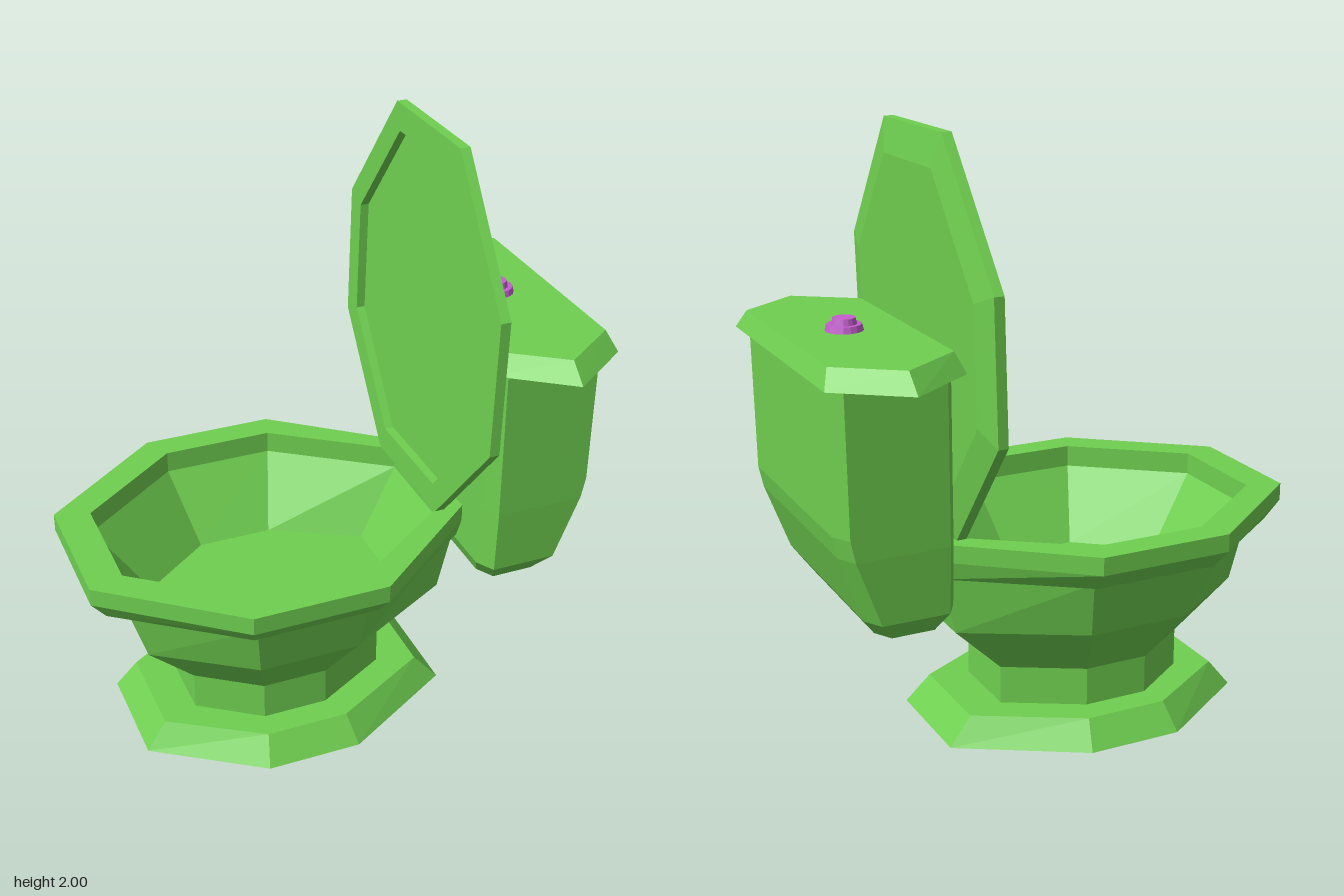
import * as THREE from 'three';

const green = new THREE.MeshStandardMaterial({ color: 0x6fcf50, flatShading: true });
const pink = new THREE.MeshStandardMaterial({ color: 0xc45fcf, flatShading: true });

// Elongated octagon: u0..u3 along its length, half widths at the ends and middle.
// u1 === u2 gives a hexagon.
function octagon(u0, u1, u2, u3, endW0, midW, endW3 = endW0) {
  const half = [[u3, -endW3], [u2, -midW], ...(u1 === u2 ? [] : [[u1, -midW]]), [u0, -endW0]];
  return [...half, ...half.map(([u, w]) => [u, -w]).reverse()];
}

// Horizontal ring at height y
const level = (y, ...o) => octagon(...o).map(([x, z]) => [x, y, z]);

// Skin a list of rings and cap both ends
function loft(name, rings) {
  const n = rings[0].length, pos = [];
  const tri = (a, b, c) => pos.push(...a, ...b, ...c);
  for (let r = 0; r < rings.length - 1; r++) {
    const lo = rings[r], hi = rings[r + 1];
    for (let i = 0; i < n; i++) {
      const j = (i + 1) % n;
      tri(lo[i], lo[j], hi[j]);
      tri(lo[i], hi[j], hi[i]);
    }
  }
  const first = rings[0], last = rings[rings.length - 1];
  for (let i = 1; i < n - 1; i++) {
    tri(first[0], first[i + 1], first[i]);
    tri(last[0], last[i], last[i + 1]);
  }
  const geo = new THREE.BufferGeometry();
  geo.setAttribute('position', new THREE.Float32BufferAttribute(pos, 3));
  geo.computeVertexNormals();
  const mesh = new THREE.Mesh(geo, green);
  mesh.name = name;
  return mesh;
}

// Upright ring of the raised cover, shrunk about its centre and leaning slightly back
function coverRing(scale, depth) {
  const mid = 1.367;
  const u = [0.735, 1.13, 1.58, 2].map(y => mid + (y - mid) * scale);
  return octagon(...u, 0.225 * scale, 0.555 * scale)
    .map(([y, w]) => [0.33 + (y - 0.735) * 0.024 + depth, y, -w]);
}

// Tank ring: rectangle with cut corners
const tankRing = (y, x0, x1, z) => level(y, x0, x0 + 0.035, x1 - 0.035, x1, z - 0.06, z);

export function createModel() {
  const model = new THREE.Group();
  model.name = 'toilet';

  model.add(loft('foot', [
    level(0, -0.69, -0.34, -0.02, 0.38, 0.19, 0.425),
    level(0.09, -0.62, -0.32, -0.04, 0.30, 0.17, 0.36),
  ]));

  model.add(loft('pedestal', [
    level(0.09, -0.5, -0.3, -0.08, 0.17, 0.13, 0.27),
    level(0.22, -0.5, -0.3, -0.08, 0.17, 0.13, 0.27),
  ]));

  // Outside of the bowl, over the rim and down to the inner floor
  model.add(loft('bowl', [
    level(0.22, -0.5, -0.3, -0.08, 0.17, 0.13, 0.27),
    level(0.41, -0.67, -0.36, -0.02, 0.36, 0.2, 0.41),
    level(0.61, -0.73, -0.385, 0, 0.41, 0.2, 0.46),
    level(0.61, -0.80, -0.41, 0.01, 0.42, 0.21, 0.5),
    level(0.675, -0.85, -0.43, 0.02, 0.43, 0.225, 0.555),
    level(0.735, -0.85, -0.43, 0.02, 0.43, 0.225, 0.555),
    level(0.735, -0.735, -0.385, -0.01, 0.37, 0.19, 0.46),
    level(0.66, -0.735, -0.385, -0.01, 0.37, 0.19, 0.46),
    level(0.42, -0.56, -0.32, -0.065, 0.23, 0.13, 0.315, 0.155),
  ]));

  // Recessed inner face, frame, edge and bevelled back
  model.add(loft('cover', [
    coverRing(0.86, 0.03),
    coverRing(0.86, 0),
    coverRing(1, 0),
    coverRing(1, 0.033),
    coverRing(0.83, 0.055),
  ]));

  model.add(loft('tank', [
    tankRing(0.51, 0.46, 0.67, 0.35),
    tankRing(0.58, 0.43, 0.72, 0.405),
    tankRing(0.80, 0.43, 0.80, 0.415),
    tankRing(0.87, 0.43, 0.815, 0.415),
    tankRing(1.33, 0.43, 0.82, 0.415),
  ]));

  model.add(loft('tankLid', [
    level(1.33, 0.41, 0.628, 0.628, 0.845, 0.425, 0.585),
    level(1.39, 0.43, 0.628, 0.628, 0.82, 0.38, 0.52),
  ]));

  // Flush button: wide collar and smaller cap
  const button = new THREE.Group();
  button.name = 'flushButton';
  for (const [name, top, bottom, y] of [['collar', 0.055, 0.06, 1.4], ['cap', 0.035, 0.04, 1.42]]) {
    const part = new THREE.Mesh(new THREE.CylinderGeometry(top, bottom, 0.02, 16), pink);
    part.name = name;
    part.position.set(0.628, y, 0);
    button.add(part);
  }
  model.add(button);
  return model;
}
